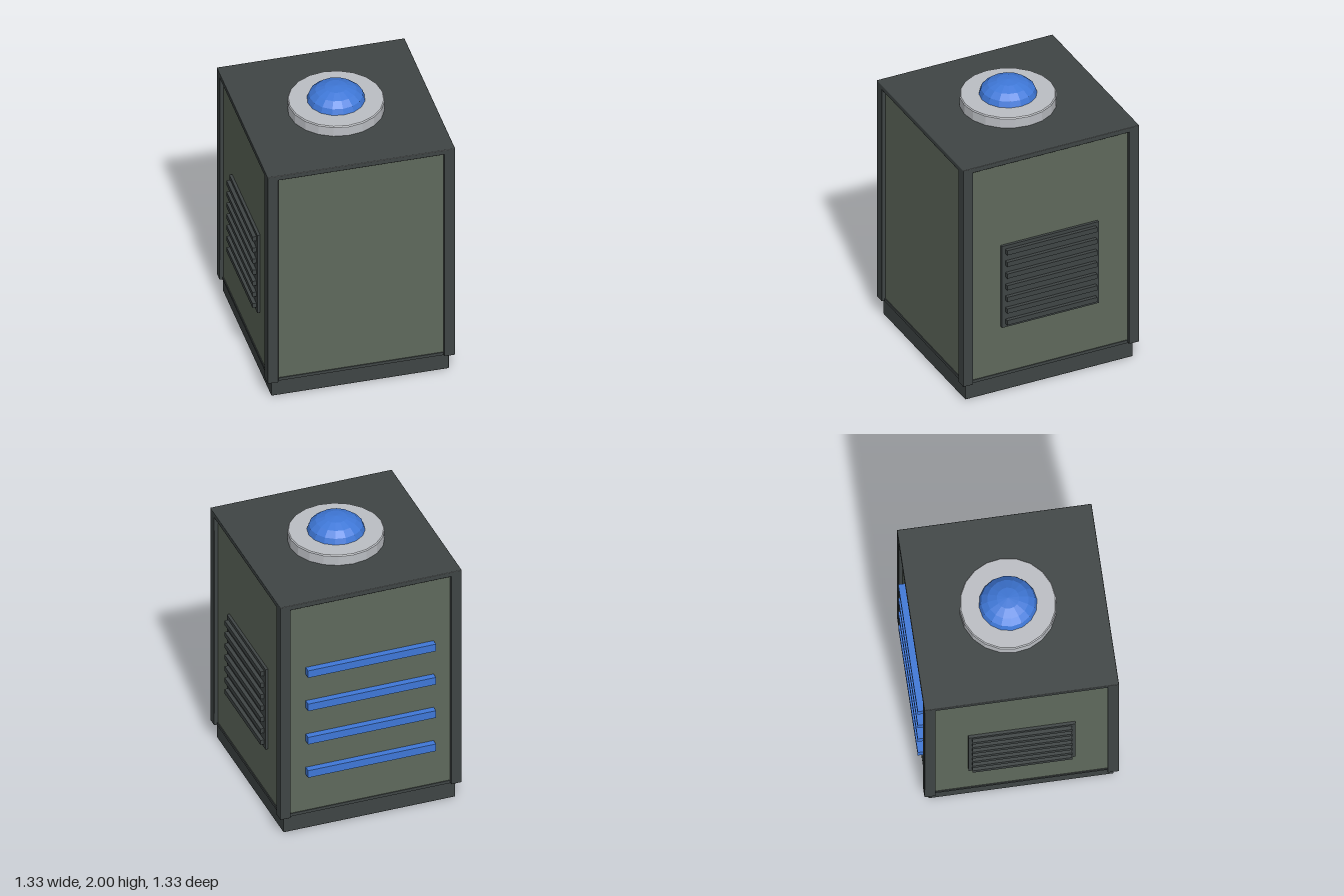
import * as THREE from 'three';
import { RoundedBoxGeometry } from 'three/addons/geometries/RoundedBoxGeometry.js';

const material = (name, color, flatShading = false) => {
  const m = new THREE.MeshStandardMaterial({ color, flatShading });
  m.name = name;
  return m;
};

export function createModel() {
  const dark = material('dark metal', 0x3f4545);
  const green = material('grey green panel', 0x5f695c);
  const steel = material('light steel', 0xbcbfc4, true);
  const blue = material('blue', 0x3f78d8, true);

  const model = new THREE.Group();
  model.name = 'cabinet';
  const body = new THREE.Group();
  body.name = 'body';
  body.position.z = 0.007;
  model.add(body);

  const add = (name, geometry, mat, x, y, z) => {
    const mesh = new THREE.Mesh(geometry, mat);
    mesh.name = name;
    mesh.position.set(x, y, z);
    body.add(mesh);
    return mesh;
  };
  const box = (name, mat, w, h, d, x, y, z) =>
    add(name, new THREE.BoxGeometry(w, h, d), mat, x, y, z);
  const bevelBox = (name, mat, w, h, d, x, y, z) =>
    add(name, new RoundedBoxGeometry(w, h, d, 1, 0.005), mat, x, y, z);

  const HX = 0.648, HZ = 0.655, POST = 0.076, RECESS = 0.028;

  // Plinth, recessed core and lid
  bevelBox('base', dark, 1.226, 0.12, 1.246, 0, 0.06, 0);
  box('panelCore', green, 2 * (HX - RECESS), 1.67, 2 * (HZ - RECESS), 0, 0.96, 0);
  box('bottomRail', dark, 2 * (HX - 0.022), 0.022, 2 * (HZ - 0.022), 0, 0.134, 0);
  box('panelTopTrim', green, 2 * (HX - 0.022), 0.028, 2 * (HZ - 0.022), 0, 1.768, 0);
  bevelBox('lid', dark, 2 * HX, 0.037, 2 * HZ, 0, 1.7965, 0);

  // Corner posts
  for (const sx of [-1, 1])
    for (const sz of [-1, 1])
      bevelBox('cornerPost', dark, POST, 1.685, POST,
        sx * (HX - POST / 2), 0.9675, sz * (HZ - POST / 2));

  // Louvred vents on both sides
  for (const s of [-1, 1]) {
    box('ventPlate', dark, 0.03, 0.635, 0.72, s * 0.625, 0.822, 0.003);
    for (let i = 0; i < 7; i++)
      box('ventSlat', dark, 0.04, 0.036, 0.67, s * 0.646, 0.55 + i * 0.091, 0.002);
  }

  // Blue bars across the back
  for (let i = 0; i < 4; i++)
    box('backBar', blue, 0.912, 0.056, 0.05, 0, 0.458 + i * 0.265, -0.648);

  // Beacon: faceted collar with a small chamfer, and a low dome
  const collar = [[0, 1.81], [0.325, 1.81], [0.325, 1.885], [0.318, 1.892], [0, 1.892]]
    .map(([r, y]) => new THREE.Vector2(r, y));
  add('beaconCollar', new THREE.LatheGeometry(collar, 20), steel, 0, 0, 0);
  const dome = add('beaconDome',
    new THREE.SphereGeometry(0.196, 16, 4, 0, Math.PI * 2, 0, Math.PI / 2), blue, 0, 1.89, 0);
  dome.scale.y = 0.11 / 0.196;

  return model;
}
